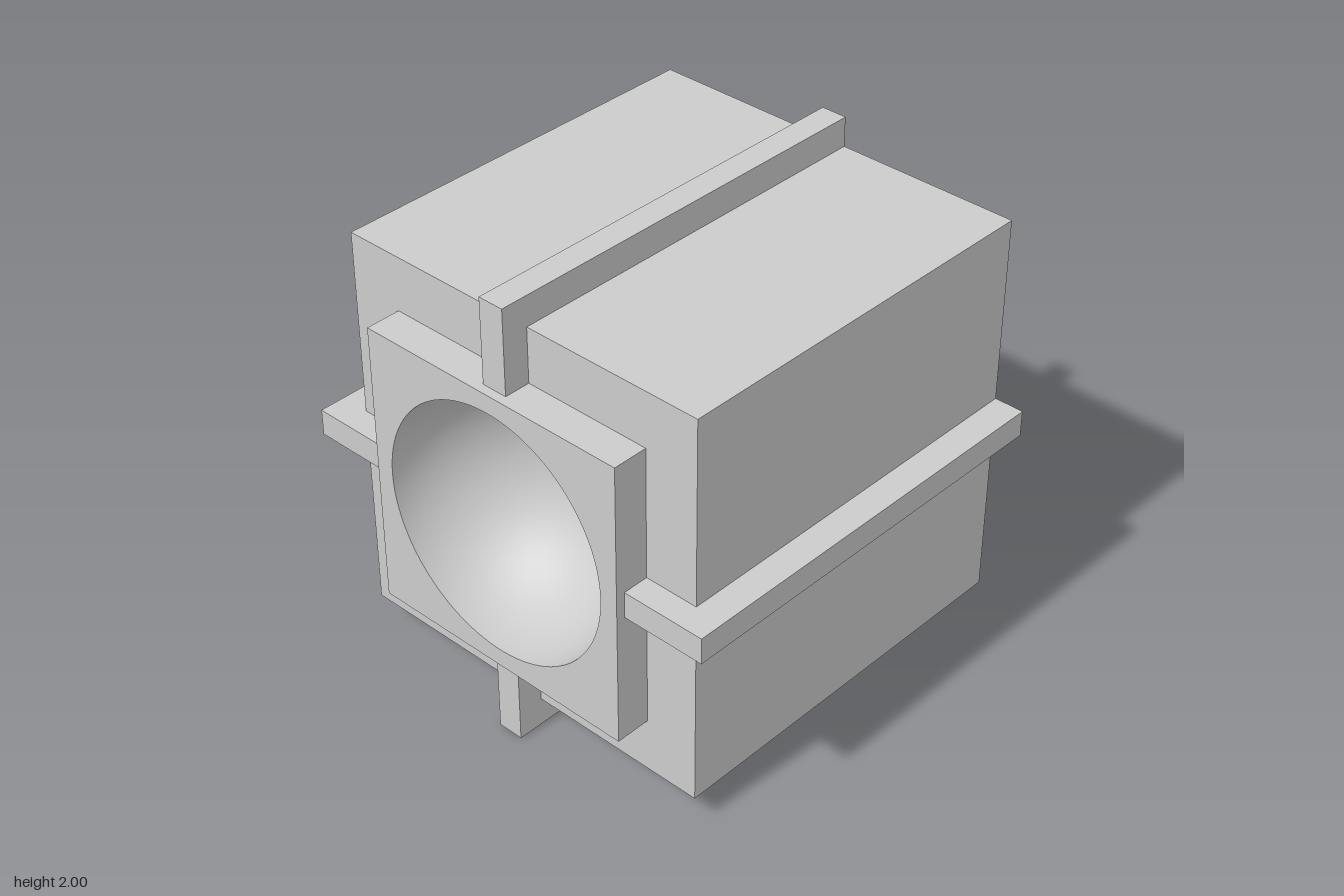
import * as THREE from 'three';

const material = new THREE.MeshStandardMaterial({ color: 0xcccccc });
const bowlMaterial = new THREE.MeshStandardMaterial({ color: 0xcccccc, side: THREE.DoubleSide });

const BODY = 0.87, PLATE = 0.63, RADIUS = 0.55, RIB = 0.115;
const X_PLATE = -0.945, X_RIB = -0.905, X_BODY = -0.79, X_END = 0.945;

function part(name, geometry, mat = material) {
  const mesh = new THREE.Mesh(geometry, mat);
  mesh.name = name;
  return mesh;
}

const square = (Type, h) => new Type([
  new THREE.Vector2(-h, -h), new THREE.Vector2(h, -h),
  new THREE.Vector2(h, h), new THREE.Vector2(-h, h), new THREE.Vector2(-h, -h),
]);

// Square block along x whose -x side is left open for a face with a hole
function openBlock(half, x0, x1) {
  const geometry = new THREE.BoxGeometry(x1 - x0, half * 2, half * 2);
  const index = Array.from(geometry.index.array);
  index.splice(6, 6);
  geometry.setIndex(index);
  geometry.clearGroups();
  return geometry.translate((x0 + x1) / 2, 0, 0);
}

// Square face with a hole, looking towards -x
function holedFace(half, hole, x) {
  const shape = square(THREE.Shape, half);
  shape.holes.push(hole);
  return new THREE.ShapeGeometry(shape, 64).rotateY(-Math.PI / 2).translate(x, 0, 0);
}

export function createModel() {
  const model = new THREE.Group();
  model.name = 'ribbedBlock';
  model.position.y = 1;

  // Main body, its end face open behind the plate
  const body = new THREE.Group();
  body.name = 'body';
  body.add(
    part('bodySides', openBlock(BODY, X_BODY, X_END)),
    part('bodyEndFace', holedFace(BODY, square(THREE.Path, PLATE), X_BODY)),
  );

  // Raised square plate with a round opening
  const plate = new THREE.Group();
  plate.name = 'plate';
  const opening = new THREE.Path().absarc(0, 0, RADIUS, 0, Math.PI * 2, true);
  plate.add(
    part('plateSides', openBlock(PLATE, X_PLATE, X_BODY)),
    part('plateFace', holedFace(PLATE, opening, X_PLATE)),
  );
  // Remove the plate's inner side, which would cut across the bowl
  const sides = plate.children[0].geometry;
  sides.setIndex(Array.from(sides.index.array).slice(6));

  // Hemispherical bowl sunk through the plate into the body
  const bowl = new THREE.SphereGeometry(RADIUS, 128, 32, 0, Math.PI * 2, 0, Math.PI / 2)
    .rotateZ(-Math.PI / 2).translate(X_PLATE, 0, 0);

  model.add(body, plate, part('bowl', bowl, bowlMaterial));

  // Four L-shaped ribs: along each side, then down the end face to the plate
  const profile = new THREE.Shape([
    [X_RIB, PLATE], [X_BODY, PLATE], [X_BODY, BODY],
    [X_END, BODY], [X_END, 1], [X_RIB, 1],
  ].map(([x, y]) => new THREE.Vector2(x, y)));
  const ribGeometry = new THREE.ExtrudeGeometry(profile, { depth: RIB, bevelEnabled: false })
    .translate(0, 0, -RIB / 2);
  ['topRib', 'frontRib', 'bottomRib', 'backRib'].forEach((name, i) => {
    const rib = part(name, ribGeometry);
    rib.rotation.x = i * Math.PI / 2;
    model.add(rib);
  });

  const root = new THREE.Group();
  root.add(model);
  return root;
}
